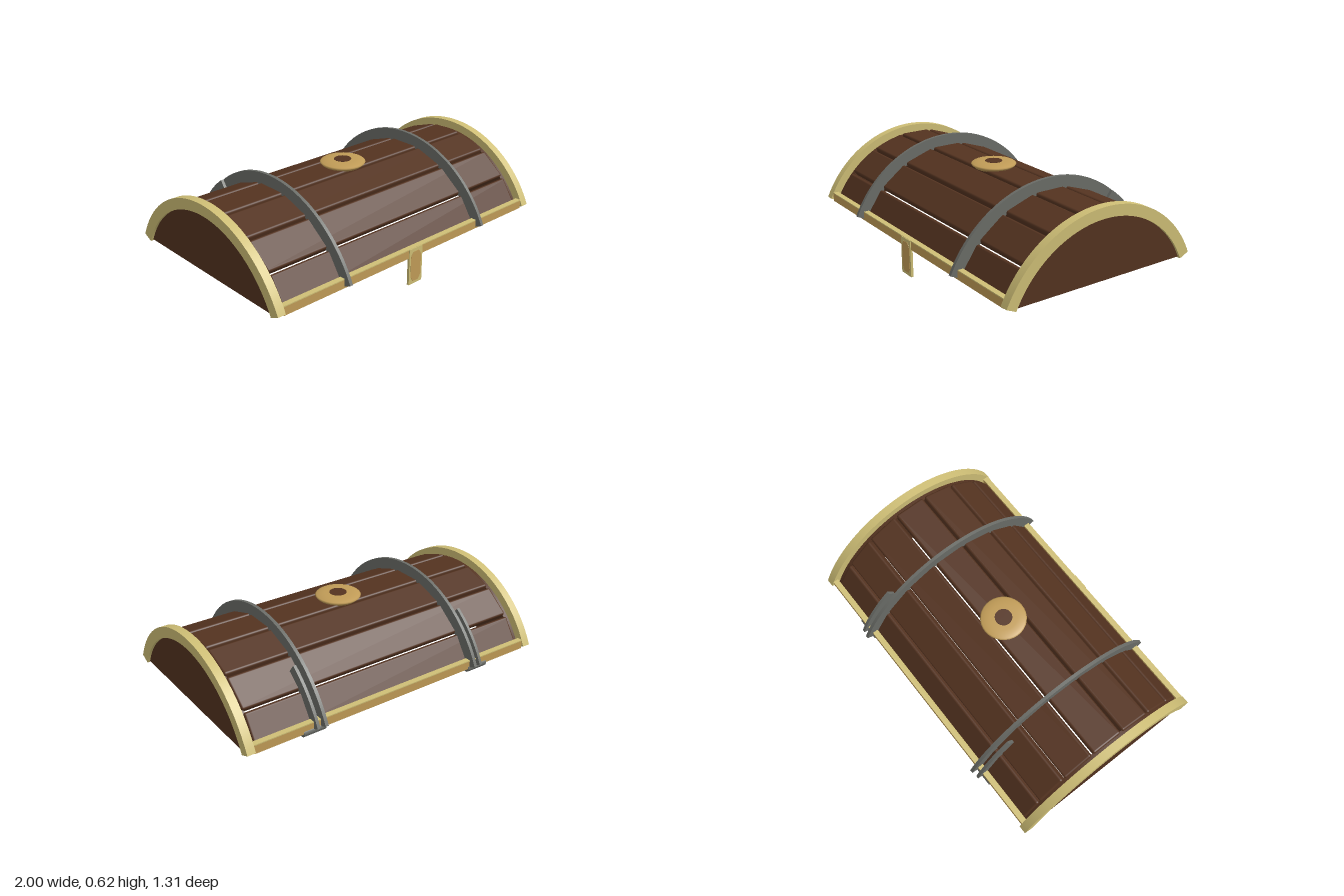
import * as THREE from 'three';
import { toCreasedNormals } from 'three/addons/utils/BufferGeometryUtils.js';
import { RoundedBoxGeometry } from 'three/addons/geometries/RoundedBoxGeometry.js';

const CY = -0.1; // height of the axis shared by every curved part
const END = THREE.MathUtils.degToRad(24.6); // elevation where the arcs end

function material(name, color) {
  const m = new THREE.MeshStandardMaterial({ color });
  m.name = name;
  return m;
}

// Extrudes a shape drawn in (z, y) along x, centred on x = 0
function alongX(shape, width, segments = 28) {
  const g = new THREE.ExtrudeGeometry(shape, { depth: width, bevelEnabled: false, curveSegments: segments });
  g.translate(0, 0, -width / 2);
  g.rotateY(-Math.PI / 2);
  return toCreasedNormals(g, 0.5);
}

// Curved bar between two radii and two elevations
function arcBar(inner, outer, from, to, width, segments) {
  const s = new THREE.Shape();
  s.absarc(0, CY, outer, from, to, false);
  s.absarc(0, CY, inner, to, from, true);
  s.closePath();
  return alongX(s, width, segments);
}

export function createModel() {
  const root = new THREE.Group();
  root.name = 'chestLid';
  const wood = material('darkWood', 0x543320);
  const paleGold = material('paleGold', 0xcfbf76);
  const gold = material('warmGold', 0xc19c57);
  const iron = material('iron', 0x6b6d68);

  const add = (name, geometry, mat, x = 0, y = 0, z = 0, parent = root) => {
    const mesh = new THREE.Mesh(geometry, mat);
    mesh.name = name;
    mesh.position.set(x, y, z);
    parent.add(mesh);
    return mesh;
  };

  // Seven thick planks set around the vault with narrow gaps
  const step = (Math.PI - 2 * END) / 7;
  const plank = new RoundedBoxGeometry(1.86, 0.05, 0.194, 3, 0.013);
  for (let i = -3; i <= 3; i++) {
    const a = i * step;
    const p = add('plank', plank, wood, 0, CY + 0.625 * Math.cos(a), 0.625 * Math.sin(a));
    p.rotation.x = a;
  }

  // End panels: circle segments closed by a level bottom edge
  const low = Math.asin((0.168 - CY) / 0.64);
  const segment = new THREE.Shape();
  segment.absarc(0, CY, 0.64, low, Math.PI - low, false);
  segment.closePath();
  const panel = alongX(segment, 0.065);

  // Trim, bands and panels are mirrored left and right
  const trim = arcBar(0.625, 0.69, END, Math.PI - END, 0.05);
  const band = arcBar(0.64, 0.72, END, Math.PI - END, 0.02);
  const hingeStrap = arcBar(0.645, 0.712, Math.PI - 0.94, Math.PI - END, 0.018, 8);
  const hingePin = new THREE.CylinderGeometry(0.025, 0.025, 0.14, 16);
  hingePin.rotateZ(Math.PI / 2);
  for (const side of [-1, 1]) {
    add('endPanel', panel, wood, side * 0.9525);
    add('endTrim', trim, paleGold, side * 0.975);
    add('ironBand', band, iron, side * 0.53);
    add('hingeStrap', hingeStrap, iron, side * 0.577);
    add('hingePin', hingePin, iron, side * 0.58, 0.17, -0.592);
  }

  // Upright rails along the lower front and back edges, with a pale upper lip
  const rail = new THREE.BoxGeometry(1.9, 0.05, 0.034);
  const lip = new THREE.BoxGeometry(1.9, 0.006, 0.034);
  for (const z of [-0.594, 0.594]) {
    add('edgeRail', rail, gold, 0, 0.195, z);
    add('railLip', lip, paleGold, 0, 0.223, z);
  }

  // Hanging latch with an inset plate on both faces
  const latch = new THREE.Group();
  latch.name = 'latch';
  latch.position.set(0, 0.112, 0.608);
  root.add(latch);
  add('latchBody', new THREE.BoxGeometry(0.104, 0.224, 0.015), paleGold, 0, 0, 0, latch);
  const inset = new THREE.Shape();
  [[-0.022, -0.095], [0.022, -0.095], [0.04, -0.065], [0.04, 0.065],
    [0.022, 0.092], [-0.022, 0.092], [-0.04, 0.065], [-0.04, -0.065]]
    .forEach(([x, y], i) => (i ? inset.lineTo(x, y) : inset.moveTo(x, y)));
  inset.closePath();
  const plate = new THREE.ExtrudeGeometry(inset, { depth: 0.002, bevelEnabled: false });
  add('latchPlateFront', plate, gold, 0, 0, 0.0072, latch);
  add('latchPlateBack', plate, gold, 0, 0, -0.0092, latch);
  // Small dark stud on the inner face of the latch
  const stud = new THREE.CylinderGeometry(0.022, 0.022, 0.006, 16);
  stud.rotateX(Math.PI / 2);
  add('latchStud', stud, wood, 0, 0.03, -0.01, latch);

  // Shallow ring boss on the crown with a wooden centre
  const profile = [[0.05, -0.012], [0.115, -0.012], [0.13, 0.002], [0.135, 0.009], [0.128, 0.014],
    [0.105, 0.02], [0.08, 0.023], [0.05, 0.024]];
  const ring = new THREE.LatheGeometry(profile.map(([x, y]) => new THREE.Vector2(x, y)), 32);
  add('crownRing', ring, gold, 0, 0.555, 0);
  add('crownCentre', new THREE.CylinderGeometry(0.051, 0.051, 0.02, 32), wood, 0, 0.57, 0);

  return root;
}
